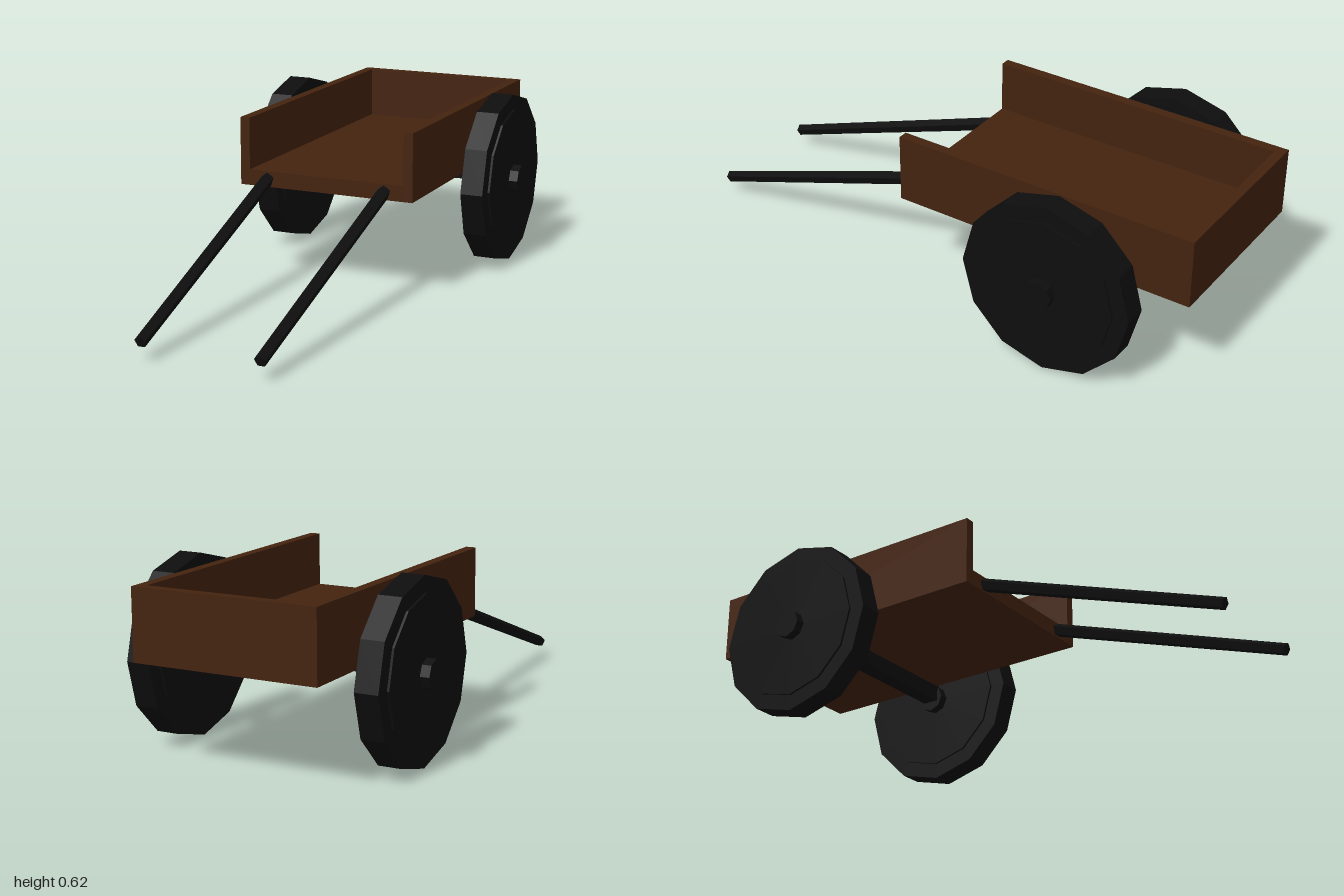
import * as THREE from 'three';

export function createModel() {
  const cart = new THREE.Group();
  cart.name = 'handCart';

  const wood = new THREE.MeshStandardMaterial({ color: 0x44230f });
  wood.name = 'brown wood';
  const dark = new THREE.MeshStandardMaterial({ color: 0x0e0e0e });
  dark.name = 'black wood';
  wood.flatShading = dark.flatShading = true;

  const add = (parent, name, geometry, material, x, y, z) => {
    const mesh = new THREE.Mesh(geometry, material);
    mesh.name = name;
    mesh.position.set(x, y, z);
    parent.add(mesh);
    return mesh;
  };
  const box = (name, w, h, d, material, x, y, z) =>
    add(cart, name, new THREE.BoxGeometry(w, h, d), material, x, y, z);
  // Disc lying along the x axis
  const disc = (r, width, sides) =>
    new THREE.CylinderGeometry(r, r, width, sides).rotateZ(Math.PI / 2);

  // Open-fronted bed
  const wall = 0.035;
  box('bedFloor', 0.58, 0.056, 1.065, wood, 0, 0.38, -0.4325);
  box('backBoard', 0.58, 0.24, wall, wood, 0, 0.472, -0.9825);

  // Axle beam under the bed
  box('axle', 0.68, 0.062, 0.06, dark, 0, 0.326, -0.55);

  for (const [side, s] of [['left', 1], ['right', -1]]) {
    box(side + 'SideBoard', wall, 0.24, 1.1, wood, s * 0.3075, 0.472, -0.45);

    // Wheel: rim, raised face disc and hub
    const wheel = new THREE.Group();
    wheel.name = side + 'Wheel';
    wheel.position.set(s * 0.41, 0.31, -0.55);
    add(wheel, 'rim', disc(0.31, 0.082, 12), dark, 0, 0, 0);
    add(wheel, 'faceDisc', disc(0.255, 0.098, 12), dark, 0, 0, 0);
    add(wheel, 'hub', disc(0.05, 0.163, 8), dark, 0, 0, 0);
    cart.add(wheel);

    // Five-sided pull shaft, slightly tapered towards the front
    const back = new THREE.Vector3(s * 0.221, 0.381, 0.095);
    const front = new THREE.Vector3(s * 0.207, 0.063, 0.993);
    const shaft = new THREE.CylinderGeometry(0.021, 0.024, back.distanceTo(front), 5)
      .rotateY(Math.PI).rotateX(Math.PI / 2);
    const mid = back.clone().add(front).multiplyScalar(0.5);
    add(cart, side + 'Shaft', shaft, dark, mid.x, mid.y, mid.z).lookAt(front);
  }

  return cart;
}
